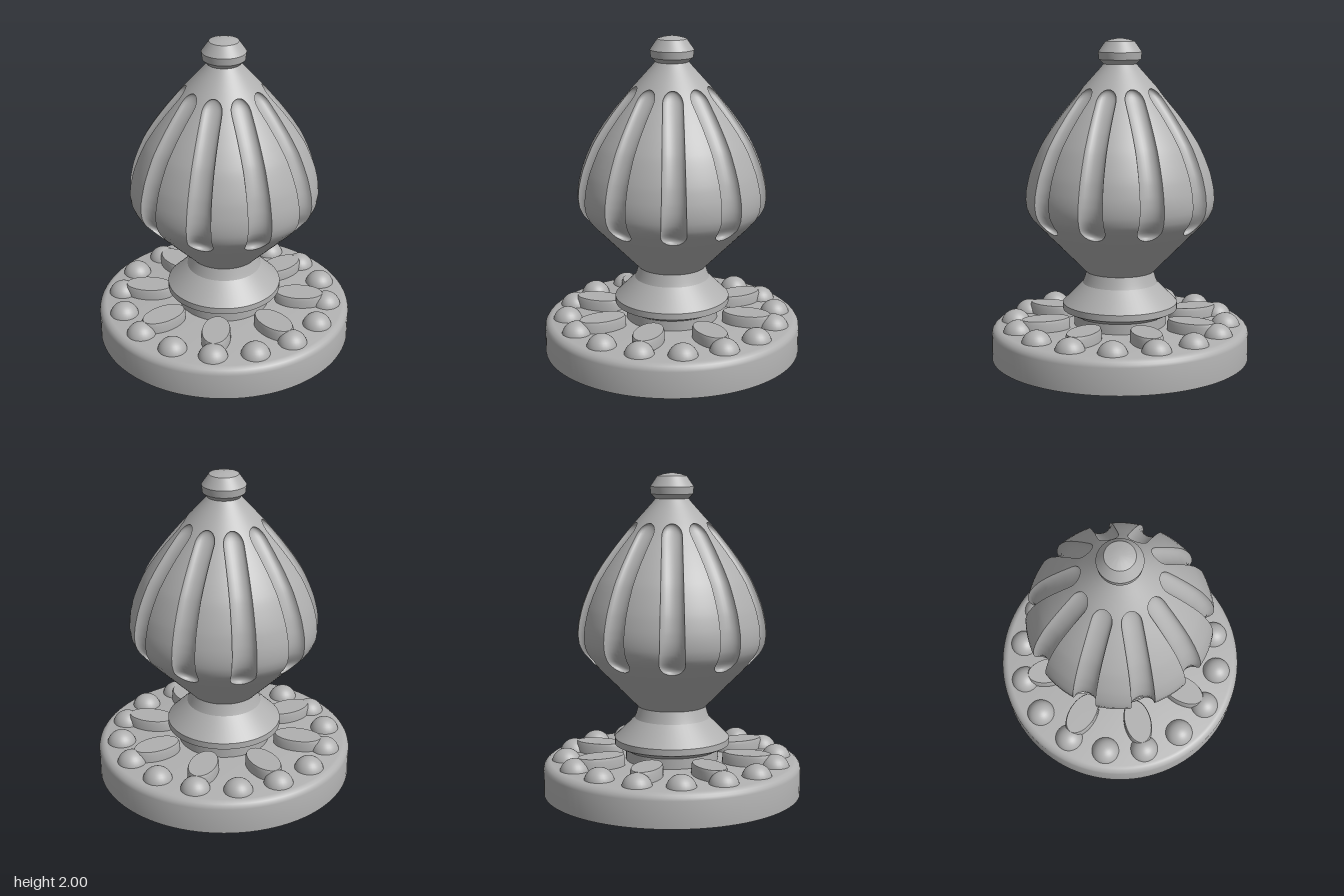
import * as THREE from 'three';
import { toCreasedNormals } from 'three/addons/utils/BufferGeometryUtils.js';

const stone = new THREE.MeshStandardMaterial({ color: 0xb0b0b0 });
stone.name = 'stone grey';

const SECTOR = Math.PI / 5; // ten flutes around the bulb
const FLUTE_LOW = 0.83, FLUTE_HIGH = 1.7;

// Bulb outline as [radius, height]
const OUTLINE = [
  [0.215, 0.55], [0.49, 0.83], [0.555, 0.9], [0.58, 0.95], [0.588, 1.01], [0.583, 1.08],
  [0.56, 1.18], [0.53, 1.26], [0.49, 1.35], [0.43, 1.445], [0.36, 1.54], [0.25, 1.675],
  [0.12, 1.82], [0.1, 1.845],
];

function radiusAt(y) {
  const last = OUTLINE.length - 1;
  let i = 0;
  while (i < last - 1 && OUTLINE[i + 1][1] < y) i++;
  const [r0, y0] = OUTLINE[i], [r1, y1] = OUTLINE[i + 1];
  return r0 + (r1 - r0) * (y - y0) / (y1 - y0);
}

// Half width of a flute, rounded off at both ends
function fluteWidth(y) {
  if (y <= FLUTE_LOW || y >= FLUTE_HIGH) return 0;
  const t = (y - FLUTE_LOW) / (FLUTE_HIGH - FLUTE_LOW);
  const d = Math.min(y - FLUTE_LOW, FLUTE_HIGH - y, 0.07) / 0.07;
  return (0.078 - 0.018 * t) * Math.sqrt(1 - (1 - d) ** 2);
}

// Heights of the rows along the flutes, packed closer at the ends
const fluteRows = [];
for (let i = 0; i <= 40; i++) {
  const t = (1 - Math.cos((i / 40) * Math.PI)) / 2;
  fluteRows.push(FLUTE_LOW + (FLUTE_HIGH - FLUTE_LOW) * t);
}
const bulbRows = [0.55, 0.62, 0.69, 0.76, ...fluteRows, 1.74, 1.78, 1.82, 1.845];

// Surface from rows of points going up, columns turning from +x towards +z
function gridGeometry(rows, cols, pointAt, normalAt) {
  const pos = [], nor = [], index = [];
  rows.forEach((y, i) => {
    for (let j = 0; j <= cols; j++) {
      pos.push(...pointAt(y, j / cols));
      if (normalAt) nor.push(...normalAt(y, j / cols));
      if (i < rows.length - 1 && j < cols) {
        const a = i * (cols + 1) + j, d = a + cols + 1;
        index.push(a, d, d + 1, a, d + 1, a + 1);
      }
    }
  });
  const g = new THREE.BufferGeometry();
  g.setAttribute('position', new THREE.Float32BufferAttribute(pos, 3));
  g.setIndex(index);
  if (normalAt) g.setAttribute('normal', new THREE.Float32BufferAttribute(nor, 3));
  else g.computeVertexNormals();
  return g;
}

function ridgeGeometry() {
  const angle = (y, u) => {
    const edge = Math.asin(fluteWidth(y) / radiusAt(y));
    return edge + (SECTOR - 2 * edge) * u;
  };
  return gridGeometry(bulbRows, 8, (y, u) => {
    const a = angle(y, u), r = radiusAt(y);
    return [r * Math.cos(a), y, r * Math.sin(a)];
  }, (y, u) => {
    const a = angle(y, u), h = 0.035;
    const lo = Math.max(y - h, 0.55), hi = Math.min(y + h, 1.845);
    const slope = (radiusAt(hi) - radiusAt(lo)) / (hi - lo);
    return new THREE.Vector3(Math.cos(a), -slope, Math.sin(a)).normalize().toArray();
  });
}

function fluteGeometry() {
  return gridGeometry(fluteRows, 12, (y, u) => {
    const w = fluteWidth(y), r = radiusAt(y);
    const s = -Math.cos(u * Math.PI);
    const z = w * s;
    const depth = 0.85 * w * Math.sin(u * Math.PI);
    return [Math.sqrt(r * r - z * z) - depth, y, z];
  });
}

function part(name, geometry) {
  const mesh = new THREE.Mesh(geometry, stone);
  mesh.name = name;
  return mesh;
}

function turned(name, points, segments = 64) {
  const g = new THREE.LatheGeometry(points.map(([r, y]) => new THREE.Vector2(r, y)), segments);
  return part(name, toCreasedNormals(g, 0.4));
}

// Copies of one part spaced evenly around the axis
function ring(name, geometry, count) {
  const group = new THREE.Group();
  group.name = name + 's';
  for (let i = 0; i < count; i++) {
    const pivot = new THREE.Group();
    pivot.rotation.y = (i / count) * Math.PI * 2;
    pivot.add(part(name, geometry));
    group.add(pivot);
  }
  return group;
}

export function createModel() {
  const model = new THREE.Group();
  model.name = 'ornamentalFinial';

  // Round plinth with a softened rim
  model.add(turned('base', [
    [0, 0], [0.81, 0], [0.81, 0.165], [0.805, 0.182], [0.795, 0.195], [0.78, 0.206],
    [0.765, 0.21], [0, 0.21],
  ], 96));

  // Beads around the rim
  const bead = new THREE.SphereGeometry(0.093, 28, 18);
  bead.translate(0.665, 0.19, 0);
  model.add(ring('bead', bead, 16));

  // Raised oval petals with a small bevel
  const petal = new THREE.LatheGeometry([
    [1, 0.2], [1, 0.262], [0.94, 0.28], [0, 0.28],
  ].map(([r, y]) => new THREE.Vector2(r, y)), 40);
  petal.scale(0.158, 1, 0.09);
  petal.translate(0.49, 0, 0);
  model.add(ring('petal', toCreasedNormals(petal, 0.5), 8));

  // Flared collar and neck
  model.add(turned('collar', [
    [0.29, 0.2], [0.29, 0.275], [0.36, 0.31], [0.36, 0.35], [0.235, 0.475],
    [0.225, 0.5], [0.21, 0.55], [0, 0.55],
  ]));

  // Fluted bulb
  model.add(ring('ridge', ridgeGeometry(), 10));
  model.add(ring('flute', fluteGeometry(), 10));

  // Knob on top
  model.add(turned('knob', [
    [0, 1.84], [0.1, 1.84], [0.13, 1.87], [0.135, 1.915], [0.09, 1.98], [0.05, 1.992], [0, 2],
  ], 48));

  return model;
}
